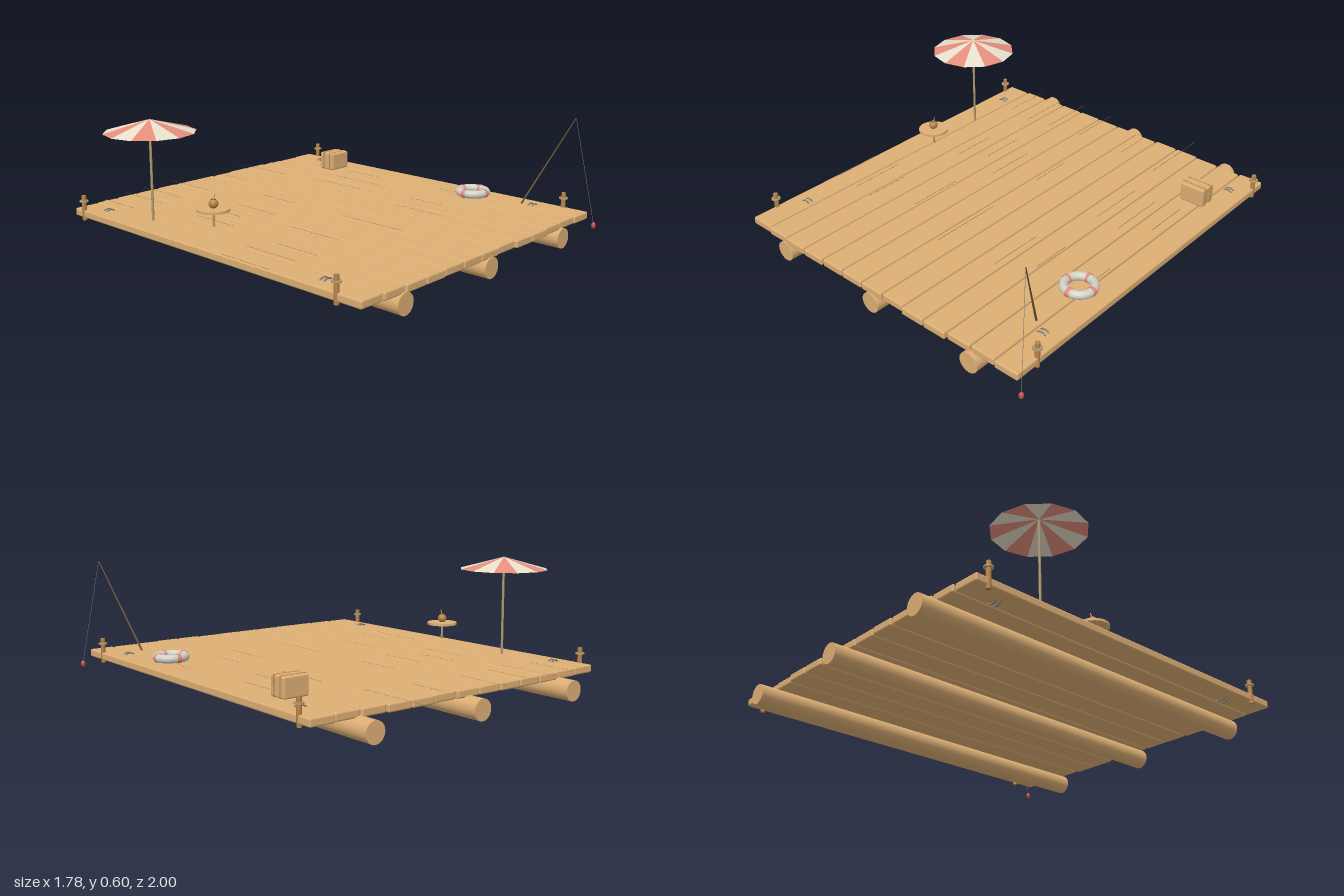
import * as THREE from 'three';
import { RoundedBoxGeometry } from 'three/addons/geometries/RoundedBoxGeometry.js';

const mat = (name, color, side = THREE.FrontSide) => {
  const m = new THREE.MeshStandardMaterial({ color, side });
  m.name = name;
  return m;
};

export function createModel() {
  const wood = mat('wood', 0xdcae74);
  const darkWood = mat('dark wood', 0x735a3c, THREE.DoubleSide);
  const pole = mat('pole wood', 0xb09a6e);
  const nutBrown = mat('nut brown', 0xb98449);
  const metal = mat('grey metal', 0x85807a);
  const nailGrey = mat('nail grey', 0xc4bba8);
  const cream = mat('cream', 0xe8e0cc, THREE.DoubleSide);
  const ringGrey = mat('ring grey', 0xd2d0c4);
  const red = mat('faded red', 0xe58d7c, THREE.DoubleSide);
  const floatRed = mat('float red', 0xc0504a);

  const model = new THREE.Group();
  model.name = 'raft';
  const add = (name, geometry, material, x = 0, y = 0, z = 0, parent = model) => {
    const mesh = new THREE.Mesh(geometry, material);
    mesh.name = name;
    mesh.position.set(x, y, z);
    parent.add(mesh);
    return mesh;
  };
  const group = (name, x, y, z) => {
    const g = new THREE.Group();
    g.name = name;
    g.position.set(x, y, z);
    model.add(g);
    return g;
  };
  // Thin tapered stick between two points
  const stick = (name, a, b, r0, r1, material) => {
    const from = new THREE.Vector3(...a), to = new THREE.Vector3(...b);
    const dir = to.clone().sub(from);
    const mesh = add(name, new THREE.CylinderGeometry(r1, r0, dir.length(), 8), material);
    mesh.position.copy(from).add(to).multiplyScalar(0.5);
    mesh.quaternion.setFromUnitVectors(new THREE.Vector3(0, 1, 0), dir.normalize());
  };

  // Floating logs
  for (const x of [-0.556, 0.022, 0.6]) {
    const geo = new THREE.CylinderGeometry(0.048, 0.048, 1.945, 32).rotateX(Math.PI / 2);
    add('log', geo, wood, x, 0.048, 0.015);
  }

  // Deck planks with slightly uneven ends, and their nails
  const backs = [0.863, 0.87, 0.875, 0.876, 0.879, 0.876, 0.876, 0.87, 0.879, 0.879, 0.87, 0.866, 0.875];
  const fronts = [0.974, 0.98, 0.985, 0.985, 0.98, 0.98, 0.98, 0.974, 0.985, 0.985, 0.974, 0.969, 0.974];
  const pitch = 0.127;
  backs.forEach((back, i) => {
    const x = -0.739 + i * pitch;
    const geo = new RoundedBoxGeometry(0.122, 0.037, back + fronts[i], 2, 0.008);
    add('plank', geo, wood, x, 0.1055, (fronts[i] - back) / 2);
    for (const z of [-0.711, 0.8]) {
      add('nail', new THREE.CylinderGeometry(0.005, 0.005, 0.003, 8), nailGrey, x, 0.1235, z);
    }
  });

  // Flat grain lines: x, back z, front z
  const grain = [
    [-0.61, -0.91, -0.65], [-0.462, -0.93, -0.61], [-0.329, -0.95, -0.64], [-0.139, -0.945, -0.66],
    [0.374, -1.0, -0.61], [0.142, -0.85, -0.66], [-0.483, -0.32, -0.08], [-0.356, -0.41, -0.17],
    [-0.218, -0.33, -0.06], [-0.012, -0.37, -0.15], [0.417, -0.39, -0.09], [0.549, -0.38, -0.08],
    [0.676, -0.4, -0.16], [-0.79, 0.19, 0.48], [-0.642, 0.19, 0.48], [-0.53, 0.26, 0.49],
    [-0.308, 0.12, 0.4], [-0.012, 0.17, 0.54], [0.306, 0.23, 0.51], [0.459, 0.2, 0.4], [0.708, 0.2, 0.34],
  ];
  for (const [x, z0, z1] of grain) {
    const geo = new THREE.PlaneGeometry(0.0025, z1 - z0).rotateX(-Math.PI / 2);
    add('grainLine', geo, darkWood, x, 0.1245, (z0 + z1) / 2);
  }

  // Mooring posts with collars at the corners, and pairs of lashing rings
  for (const z of [-0.797, 0.844]) {
    for (const x of [-0.793, 0.837]) {
      const post = group('mooringPost', x, 0, z);
      add('post', new THREE.CylinderGeometry(0.011, 0.011, 0.12, 12), nutBrown, 0, 0.135, 0, post);
      add('collar', new THREE.CylinderGeometry(0.021, 0.021, 0.007, 16), pole, 0, 0.168, 0, post);
    }
  }
  for (const z of [-0.701, 0.719]) {
    for (const x of [-0.718, 0.761]) {
      for (const dz of [-0.011, 0.011]) {
        add('lashingRing', new THREE.TorusGeometry(0.03, 0.0035, 8, 24), metal, x, 0.102, z + dz);
      }
    }
  }

  // Parasol: twelve alternating panels on a pole
  const parasol = group('parasol', -0.676, 0, -0.414);
  add('parasolPole', new THREE.CylinderGeometry(0.006, 0.006, 0.475, 12), pole, 0, 0.3615, 0, parasol);
  for (let i = 0; i < 12; i++) {
    const [a, b] = [i, i + 1].map((k) => (k * Math.PI) / 6);
    const geo = new THREE.BufferGeometry();
    geo.setAttribute('position', new THREE.Float32BufferAttribute([
      0, 0.602, 0,
      0.213 * Math.cos(a), 0.543, -0.213 * Math.sin(a),
      0.213 * Math.cos(b), 0.543, -0.213 * Math.sin(b),
    ], 3));
    geo.computeVertexNormals();
    add('canopyPanel', geo, i % 2 ? red : cream, 0, 0, 0, parasol);
  }

  // Small table with a round drink and a straw
  const table = group('table', -0.623, 0, -0.047);
  add('tableTop', new THREE.CylinderGeometry(0.075, 0.075, 0.012, 32), wood, 0, 0.238, 0, table);
  add('tableLeg', new THREE.CylinderGeometry(0.006, 0.006, 0.075, 12), pole, 0, 0.197, 0, table);
  add('drink', new THREE.SphereGeometry(0.022, 20, 14), nutBrown, 0, 0.264, 0, table);
  add('drinkOpening', new THREE.CylinderGeometry(0.011, 0.011, 0.004, 16), darkWood, 0, 0.283, 0, table);
  stick('straw', [-0.623, 0.275, -0.047], [-0.613, 0.308, -0.047], 0.0025, 0.0025, red);

  // Crate with two straps
  const crate = group('crate', 0.684, 0.17, -0.525);
  add('crateBox', new RoundedBoxGeometry(0.124, 0.092, 0.096, 2, 0.008), wood, 0, 0, 0, crate);
  for (const z of [-0.021, 0.022]) {
    add('strap', new RoundedBoxGeometry(0.128, 0.096, 0.006, 1, 0.002), nutBrown, 0, 0, z, crate);
  }

  // Life ring with four red bands
  const ring = group('lifeRing', 0.7, 0.15, 0.409);
  add('ring', new THREE.TorusGeometry(0.067, 0.02, 16, 40).rotateX(Math.PI / 2), ringGrey, 0, 0, 0, ring);
  for (let i = 0; i < 4; i++) {
    const arc = 0.26;
    const geo = new THREE.TorusGeometry(0.067, 0.022, 16, 4, arc).rotateZ(-arc / 2).rotateX(Math.PI / 2);
    add('band', geo, red, 0, 0, 0, ring).rotation.y = (i * Math.PI) / 2;
  }

  // Fishing rod, line and float
  stick('fishingRod', [0.703, 0.14, 0.693], [0.82, 0.572, 0.897], 0.005, 0.0025, darkWood);
  stick('fishingLine', [0.82, 0.572, 0.897], [0.88, 0.06, 0.988], 0.001, 0.001, metal);
  add('float', new THREE.SphereGeometry(0.011, 14, 10).scale(1, 1.5, 1), floatRed, 0.88, 0.05, 0.989);

  return model;
}
